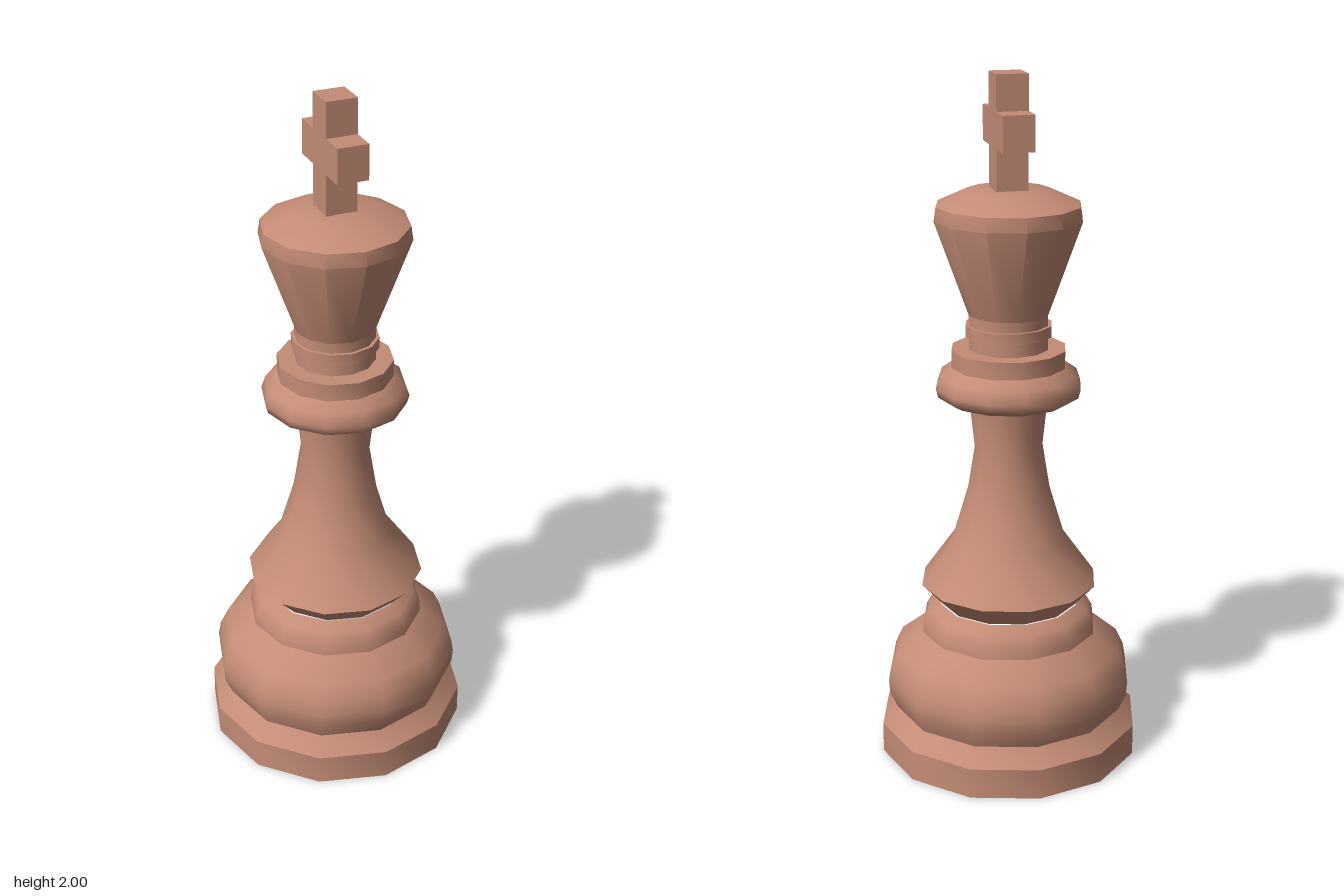
import * as THREE from 'three';
import { toCreasedNormals } from 'three/addons/utils/BufferGeometryUtils.js';

export function createModel() {
  const king = new THREE.Group();
  king.name = 'chessKing';
  const wood = new THREE.MeshStandardMaterial({ color: 0xc48c76 });
  wood.name = 'warmWood';

  // Twelve-sided turned part; profile runs bottom to top as [radius, height]
  function turned(name, profile, crease = 0.7) {
    const points = profile.map(([r, y]) => new THREE.Vector2(r, y));
    const geometry = toCreasedNormals(new THREE.LatheGeometry(points, 12), crease);
    const mesh = new THREE.Mesh(geometry, wood);
    mesh.name = name;
    king.add(mesh);
  }

  // Foot
  turned('base', [[0, 0], [0.385, 0], [0.385, 0.09], [0.34, 0.14]]);
  turned('baseBulge', [[0.34, 0.14], [0.362, 0.19], [0.365, 0.23], [0.358, 0.27], [0.335, 0.32], [0.26, 0.375]], 0.9);
  turned('baseCollar', [[0.26, 0.375], [0.257, 0.41], [0.24, 0.44], [0.205, 0.46]], 0.9);

  // Stem with flared skirt
  turned('skirtUnderside', [[0.2, 0.46], [0.26, 0.525]]);
  turned('stem', [[0.26, 0.525], [0.165, 0.66], [0.123, 0.8], [0.1, 0.94], [0.115, 1.08]]);

  // Collar rings
  turned('collarRing', [[0.1, 1.08], [0.18, 1.08], [0.205, 1.095], [0.212, 1.12], [0.2, 1.155], [0.165, 1.18]], 0.95);
  turned('collarDisc', [[0.166, 1.175], [0.166, 1.23], [0.1, 1.23]]);
  turned('neck', [[0.115, 1.23], [0.115, 1.33]]);
  turned('neckRing', [[0.11, 1.268], [0.125, 1.268], [0.125, 1.3], [0.11, 1.3]]);

  // Head
  turned('head', [[0.115, 1.33], [0.212, 1.6], [0.206, 1.64], [0.12, 1.68], [0, 1.685]]);

  // Cross, its arms running front to back
  const w = 0.045, arm = 0.12, low = 1.8, high = 1.9;
  const outline = [
    [-w, 1.66], [w, 1.66], [w, low], [arm, low], [arm, high], [w, high],
    [w, 2], [-w, 2], [-w, high], [-arm, high], [-arm, low], [-w, low],
  ].map(([x, y]) => new THREE.Vector2(x, y));
  const crossGeometry = new THREE.ExtrudeGeometry(new THREE.Shape(outline), { depth: 2 * w, bevelEnabled: false });
  crossGeometry.translate(0, 0, -w).rotateY(Math.PI / 2);
  const cross = new THREE.Mesh(crossGeometry, wood);
  cross.name = 'cross';
  king.add(cross);

  return king;
}
